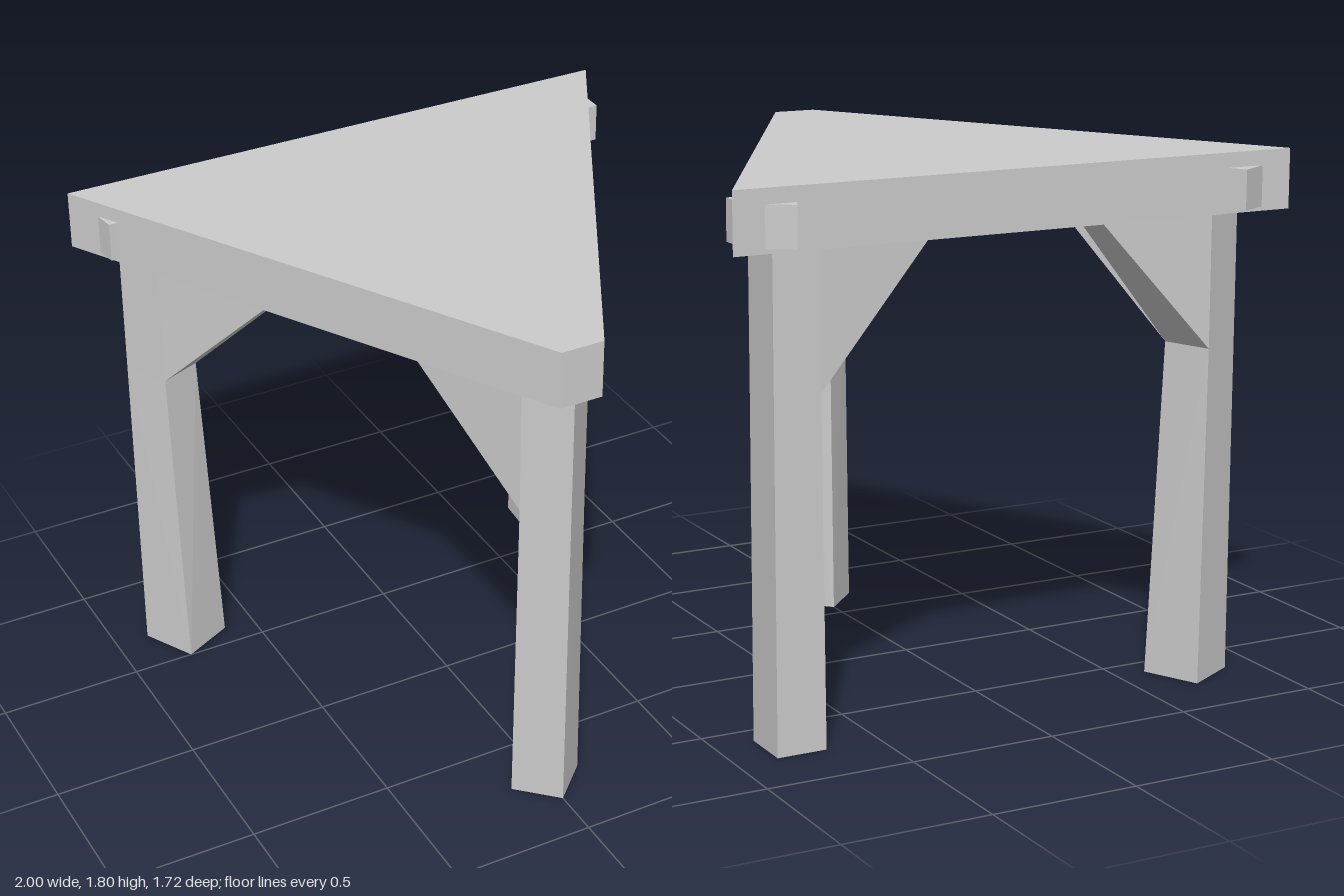
import * as THREE from 'three';
import { ConvexGeometry } from 'three/addons/geometries/ConvexGeometry.js';

const KNEE = 1.15, UNDER = 1.6, TOP = 1.8;

// Lifts plan points [x, z] to a height.
const at = (plan, y) => plan.map(([x, z]) => new THREE.Vector3(x, y, z));

export function createModel() {
  const model = new THREE.Group();
  const material = new THREE.MeshStandardMaterial({ color: 0xcccccc, flatShading: true });

  // Faceted solid spanned by its corner points.
  const solid = (name, parent, ...points) => {
    const mesh = new THREE.Mesh(new ConvexGeometry(points.flat()), material);
    mesh.name = name;
    parent.add(mesh);
  };

  // Triangular top with a blunted front corner
  const top = [[-1, -0.8], [1, -0.8], [0.08, 0.86], [-0.07, 0.86]];
  solid('tableTop', model, at(top, UNDER), at(top, TOP));

  // Each leg: foot and knee sections, and two braces given as
  // [section corner, section corner, tip, tip]
  const legs = [
    {
      name: 'frontLeg',
      foot: [[0, 0.83], [0.13, 0.705], [0, 0.57], [-0.13, 0.705]],
      knee: [[0, 0.83], [0.12, 0.71], [0, 0.59], [-0.12, 0.71]],
      braces: [[1, 2, [0.31, 0.31], [0.24, 0.21]], [3, 2, [-0.31, 0.31], [-0.24, 0.21]]],
    },
    {
      name: 'backRightLeg',
      foot: [[-0.785, -0.5], [-0.61, -0.59], [-0.7, -0.78], [-0.88, -0.68]],
      knee: [[-0.8, -0.54], [-0.66, -0.6], [-0.72, -0.77], [-0.88, -0.68]],
      braces: [[0, 1, [-0.56, -0.14], [-0.45, -0.19]], [2, 1, [-0.31, -0.75], [-0.3, -0.61]]],
    },
    {
      name: 'backLeftLeg',
      foot: [[0.675, -0.585], [0.86, -0.595], [0.86, -0.775], [0.69, -0.775]],
      knee: [[0.695, -0.595], [0.86, -0.6], [0.86, -0.775], [0.7, -0.775]],
      braces: [[1, 0, [0.64, -0.2], [0.51, -0.16]], [3, 0, [0.31, -0.75], [0.3, -0.61]]],
    },
  ];
  for (const { name, foot, knee, braces } of legs) {
    const leg = new THREE.Group();
    leg.name = name;
    model.add(leg);
    solid('post', leg, at(foot, 0), at(knee, KNEE));
    solid('postHead', leg, at(knee, KNEE), at(knee, UNDER));
    for (const [a, b, ...tips] of braces) {
      const root = [knee[a], knee[b]];
      solid('brace', leg, at(root, KNEE), at(root, UNDER), at(tips, UNDER));
    }
  }

  // Peg ends that poke out through the rim at the back corners
  const pegs = [
    [[-0.91, -0.79], [-0.79, -0.86], [-0.75, -0.79]],
    [[0.785, -0.79], [0.81, -0.85], [0.91, -0.79]],
    [[-0.94, -0.69], [-0.93, -0.62], [-0.88, -0.62]],
    [[0.94, -0.7], [0.94, -0.62], [0.88, -0.62]],
  ];
  for (const peg of pegs) solid('peg', model, at(peg, 1.615), at(peg, 1.75));

  return model;
}
